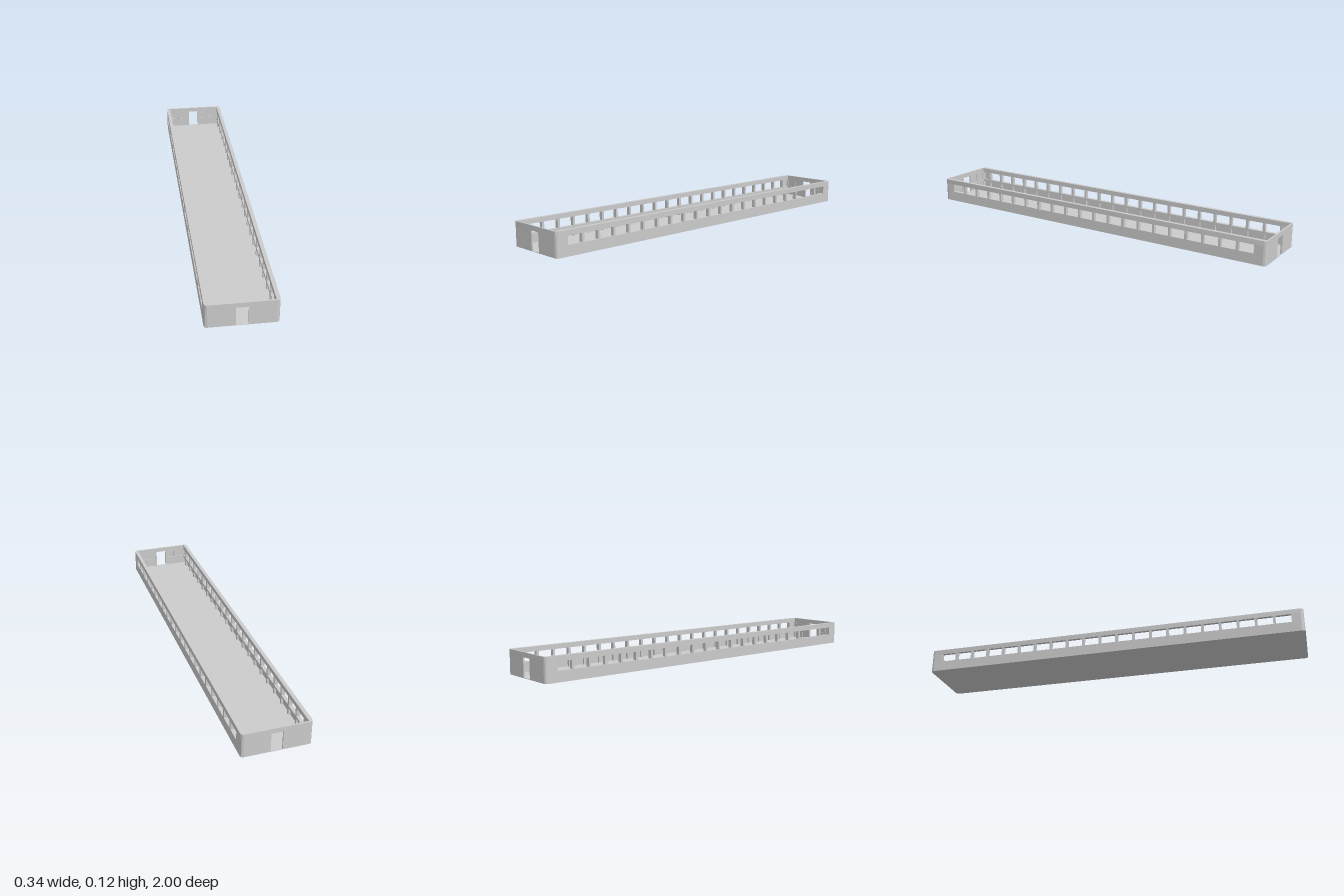
import * as THREE from 'three';
import { toCreasedNormals } from 'three/addons/utils/BufferGeometryUtils.js';

const W = 0.168, L = 1, H = 0.122;      // half width, half length, height
const FLOOR = 0.002, RAIL = 0.098;      // floor top, underside of top rail
const R = 0.015;                        // corner radius
const INX = 0.149, INZ = 0.992;         // inner faces of the framing
const SKIN = 0.008, END_SKIN = 0.004;   // outer skin thicknesses
const WINDOWS = 21, PITCH = 0.09, WIN_W = 0.0775, WIN_Y0 = 0.053, WIN_Y1 = 0.096;
const DOOR = 0.0285;                    // half door width

const material = new THREE.MeshStandardMaterial({ color: 0xcccccc });

function add(parent, name, geometry, x = 0, y = 0, z = 0) {
  const mesh = new THREE.Mesh(geometry, material);
  mesh.name = name;
  mesh.position.set(x, y, z);
  parent.add(mesh);
  return mesh;
}

// box given by its minimum and maximum corners
function block(parent, name, x0, x1, y0, y1, z0, z1) {
  return add(parent, name, new THREE.BoxGeometry(x1 - x0, y1 - y0, z1 - z0),
    (x0 + x1) / 2, (y0 + y1) / 2, (z0 + z1) / 2);
}

function rectPath(path, x0, y0, x1, y1) {
  path.moveTo(x0, y0);
  path.lineTo(x1, y0);
  path.lineTo(x1, y1);
  path.lineTo(x0, y1);
  path.closePath();
  return path;
}

function extrude(shape, depth) {
  const g = new THREE.ExtrudeGeometry(shape, { depth, bevelEnabled: false, curveSegments: 8 });
  return toCreasedNormals(g, 0.6);
}

// plan shape extruded upwards
const extrudeUp = (shape, height) => extrude(shape, height).rotateX(-Math.PI / 2);

function roundedPlan() {
  const s = new THREE.Shape();
  const x = W - R, y = L - R;
  s.absarc(x, y, R, 0, Math.PI / 2);
  s.absarc(-x, y, R, Math.PI / 2, Math.PI);
  s.absarc(-x, -y, R, Math.PI, Math.PI * 1.5);
  s.absarc(x, -y, R, Math.PI * 1.5, Math.PI * 2);
  s.closePath();
  return s;
}

export function createModel() {
  const model = new THREE.Group();
  model.name = 'carriageBody';

  // floor slab and top rail
  add(model, 'floor', extrudeUp(roundedPlan(), FLOOR));
  const rail = roundedPlan();
  rail.holes.push(rectPath(new THREE.Path(), -INX, -INZ, INX, INZ));
  add(model, 'topRail', extrudeUp(rail, H - RAIL), 0, RAIL, 0);

  // rounded corner posts
  for (let i = 0; i < 4; i++) {
    const a = i * Math.PI / 2, b = a + Math.PI / 2;
    const s = new THREE.Shape();
    s.absarc(0, 0, R, a, b, false);
    s.absarc(0, 0, R - SKIN, b, a, true);
    s.closePath();
    const sx = i === 0 || i === 3 ? 1 : -1, sz = i < 2 ? -1 : 1;
    add(model, 'cornerPost', extrudeUp(s, RAIL - FLOOR), sx * (W - R), FLOOR, sz * (L - R));
  }

  // side skin with a row of windows
  const side = rectPath(new THREE.Shape(), -(L - R), FLOOR, L - R, RAIL);
  for (let i = 0; i < WINDOWS; i++) {
    const c = (i - (WINDOWS - 1) / 2) * PITCH;
    side.holes.push(rectPath(new THREE.Path(), c - WIN_W / 2, WIN_Y0, c + WIN_W / 2, WIN_Y1));
  }
  const sideGeo = extrude(side, SKIN).rotateY(Math.PI / 2);

  // end skin with a doorway
  const end = new THREE.Shape();
  [[-(W - R), FLOOR], [-DOOR, FLOOR], [-DOOR, RAIL], [-(W - R), RAIL]]
    .forEach(([x, y], i) => (i ? end.lineTo(x, y) : end.moveTo(x, y)));
  end.closePath();
  const endGeo = extrude(end, END_SKIN);

  for (const s of [-1, 1]) {
    const wall = new THREE.Group();
    wall.name = s > 0 ? 'leftWall' : 'rightWall';
    model.add(wall);
    add(wall, 'windowPanel', sideGeo, s > 0 ? W - SKIN : -W);

    // inner studs between the windows and a sill rail below them
    const xa = s > 0 ? INX : -(W - SKIN), xb = s > 0 ? W - SKIN : -INX;
    const half = (PITCH - WIN_W) / 2;
    for (let i = 0; i <= WINDOWS; i++) {
      const z = (i - WINDOWS / 2) * PITCH;
      block(wall, 'stud', xa, xb, FLOOR, RAIL, z - half, z + half);
    }
    block(wall, 'sillRail', xa, xb, 0.04, WIN_Y0, -INZ, INZ);

    // end wall: two skin halves, each with studs and a rail
    const endWall = new THREE.Group();
    endWall.name = s > 0 ? 'frontWall' : 'backWall';
    model.add(endWall);
    const za = s > 0 ? INZ : -(L - END_SKIN), zb = s > 0 ? L - END_SKIN : -INZ;
    const zSkin = s > 0 ? L - END_SKIN : -L;
    add(endWall, 'endPanel', endGeo, 0, 0, zSkin);
    add(endWall, 'endPanel', endGeo.clone().translate(W - R + DOOR, 0, 0), 0, 0, zSkin);
    for (const m of [-1, 1]) {
      for (const x of [DOOR + 0.005, 0.09, 0.148]) {
        block(endWall, 'endStud', m * x - 0.005, m * x + 0.005, FLOOR, RAIL, za, zb);
      }
      const c = m * (DOOR + W - R) / 2, h = (W - R - DOOR) / 2;
      block(endWall, 'endSill', c - h, c + h, 0.04, WIN_Y0, za, zb);
    }
  }
  return model;
}
